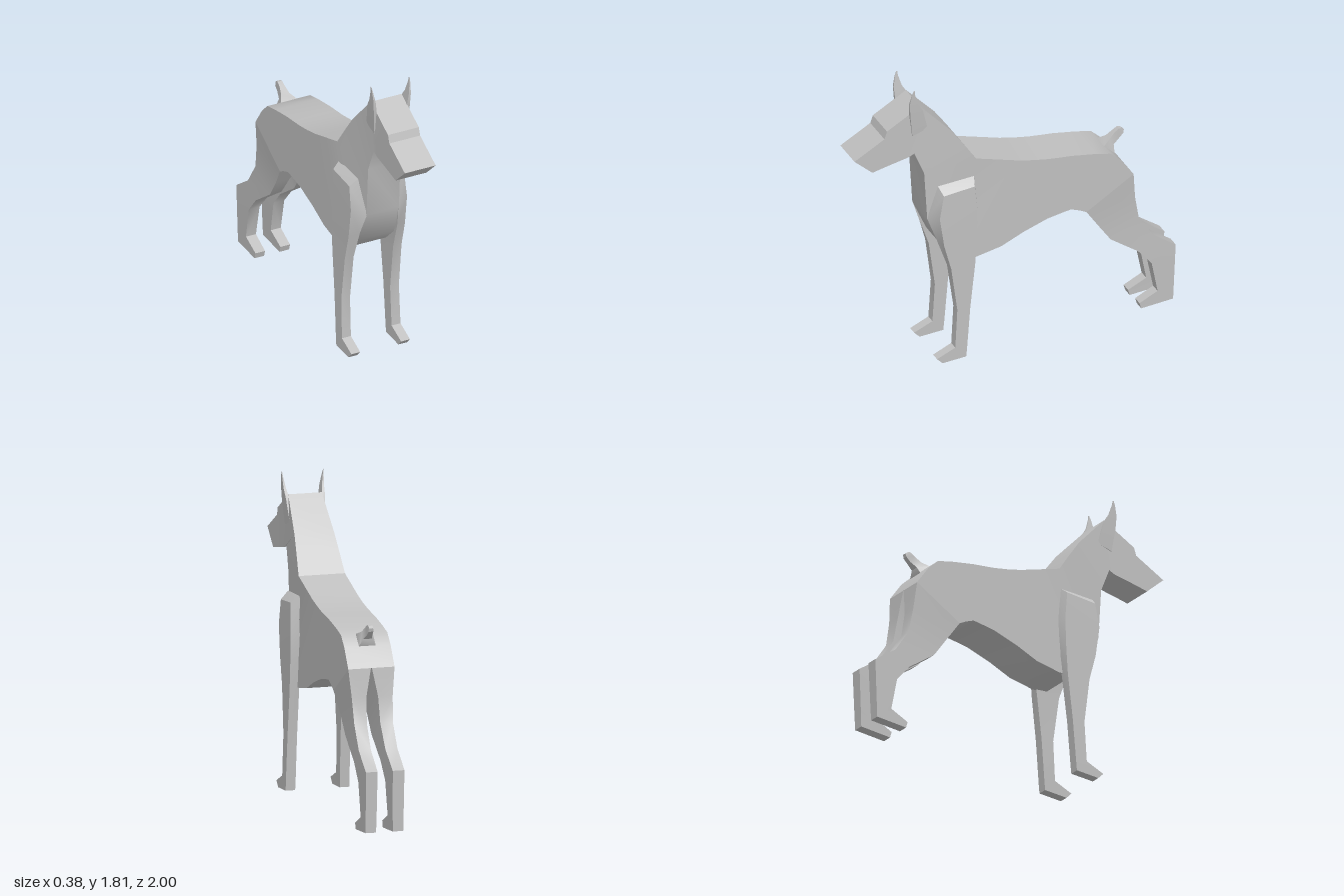
import * as THREE from 'three';
import { toCreasedNormals } from 'three/addons/utils/BufferGeometryUtils.js';

const coat = new THREE.MeshStandardMaterial({ color: 0xbfbfbf });
coat.name = 'grey coat';

// Closed skin over a row of four-cornered sections, each corner [x, y, z]
function loft(name, sections, side = 1) {
  const rings = sections.map(r => r.map(([x, y, z]) => new THREE.Vector3(x * side, y, z)));
  const tris = [];
  const quad = (a, b, c, d) => tris.push([a, b, c], [a, c, d]);
  for (let i = 0; i < rings.length - 1; i++) {
    for (let j = 0; j < 4; j++) {
      const k = (j + 1) % 4;
      quad(rings[i][j], rings[i][k], rings[i + 1][k], rings[i + 1][j]);
    }
  }
  quad(...[...rings[0]].reverse());
  quad(...rings[rings.length - 1]);

  // Faces point outward when the enclosed volume is positive
  let volume = 0;
  for (const [a, b, c] of tris) volume += a.dot(b.clone().cross(c));
  const points = [];
  for (const [a, b, c] of tris) {
    const area = b.clone().sub(a).cross(c.clone().sub(a)).length();
    if (area > 1e-7) points.push(...(volume > 0 ? [a, b, c] : [a, c, b]));
  }
  const geometry = toCreasedNormals(new THREE.BufferGeometry().setFromPoints(points), 0.55);
  const mesh = new THREE.Mesh(geometry, coat);
  mesh.name = name;
  return mesh;
}

// Section rules: symmetric about x = 0, or a slab between two x positions
const centred = ([za, ya, zb, yb, wa, wb = wa]) =>
  [[wa, ya, za], [-wa, ya, za], [-wb, yb, zb], [wb, yb, zb]];
const slab = ([za, ya, zb, yb, xo, xi]) =>
  [[xo, ya, za], [xi, ya, za], [xi, yb, zb], [xo, yb, zb]];
// Outer front, outer back, inner front, inner back as z, y; then outer and inner x
const bevelled = ([a, b, c, d, e, f, g, h, xo, xi]) =>
  [[xo, b, a], [xi, f, e], [xi, h, g], [xo, d, c]];

// Top z, y; underside z, y; half widths at top and underside
const body = [
  [1.0, 1.415, 0.888, 1.315, 0.1],
  [0.813, 1.52, 0.80, 1.335, 0.1],
  [0.797, 1.567, 0.785, 1.338, 0.1],
  [0.59, 1.685, 0.663, 1.363, 0.1],
  [0.406, 1.49, 0.626, 1.38, 0.118, 0.1],
  [0.33, 1.385, 0.567, 1.235, 0.128, 0.105],
  [0.257, 1.278, 0.548, 0.93, 0.138, 0.105],
  [0.12, 1.238, 0.45, 0.72, 0.138, 0.13],
  [-0.01, 1.20, 0.35, 0.63, 0.138],
  [-0.1, 1.18, 0.257, 0.624, 0.138],
  [-0.19, 1.165, 0.10, 0.656, 0.138],
  [-0.265, 1.157, -0.04, 0.718, 0.138],
  [-0.34, 1.15, -0.19, 0.77, 0.138],
  [-0.487, 1.127, -0.30, 0.79, 0.138],
  [-0.583, 1.106, -0.337, 0.795, 0.138],
  [-0.647, 1.047, -0.39, 0.775, 0.138],
  [-0.727, 0.935, -0.433, 0.753, 0.138],
];

// Back z, y; front z, y; outer and inner x
const hindLeg = [
  [-0.727, 0.935, -0.433, 0.753, 0.138, 0.003],
  [-0.743, 0.77, -0.51, 0.64, 0.122, 0.035],
  [-0.77, 0.62, -0.594, 0.52, 0.115, 0.04],
  [-0.86, 0.485, -0.765, 0.40, 0.115, 0.043],
  [-1.0, 0.388, -0.85, 0.30, 0.115, 0.045],
  [-0.989, 0.12, -0.888, 0.105, 0.113, 0.048],
  [-0.985, 0.03, -0.775, 0.05, 0.112, 0.05],
  [-0.985, 0.03, -0.786, 0.013, 0.112, 0.05],
];

const frontLeg = [
  [0.476, 1.10, 0.283, 1.12, 0.492, 1.145, 0.267, 1.16, 0.178, 0.13],
  [0.503, 0.955, 0.267, 0.955, 0.548, 0.93, 0.237, 0.95, 0.182, 0.102],
  [0.476, 0.77, 0.273, 0.77, 0.50, 0.795, 0.258, 0.77, 0.183, 0.122],
  [0.433, 0.61, 0.283, 0.61, 0.435, 0.61, 0.28, 0.61, 0.184, 0.128],
  [0.396, 0.33, 0.315, 0.33, 0.396, 0.33, 0.315, 0.33, 0.187, 0.13],
  [0.41, 0.085, 0.337, 0.06, 0.41, 0.085, 0.337, 0.06, 0.19, 0.132],
  [0.524, 0.035, 0.342, 0.01, 0.524, 0.035, 0.342, 0.01, 0.19, 0.133],
  [0.49, 0, 0.342, 0.01, 0.49, 0, 0.342, 0.01, 0.19, 0.133],
];

const ear = [
  [0.64, 1.50, 0.545, 1.53, 0.104, 0.085],
  [0.658, 1.64, 0.58, 1.665, 0.117, 0.097],
  [0.663, 1.72, 0.613, 1.72, 0.121, 0.108],
  [0.65, 1.785, 0.632, 1.785, 0.124, 0.119],
  [0.64, 1.81, 0.634, 1.81, 0.125, 0.123],
];

const tail = [
  [-0.575, 1.10, -0.64, 1.04, 0.05],
  [-0.583, 1.108, -0.647, 1.05, 0.05],
  [-0.625, 1.13, -0.652, 1.09, 0.026],
  [-0.663, 1.163, -0.69, 1.118, 0.016],
  [-0.69, 1.18, -0.717, 1.145, 0.015],
  [-0.707, 1.178, -0.722, 1.166, 0.012],
];

export function createModel() {
  const model = new THREE.Group();
  model.name = 'dog';
  model.add(loft('headAndTrunk', body.map(centred)), loft('tail', tail.map(centred)));
  // Paired parts
  for (const [prefix, side] of [['left', 1], ['right', -1]]) {
    model.add(
      loft(prefix + 'FrontLeg', frontLeg.map(bevelled), side),
      loft(prefix + 'HindLeg', hindLeg.map(slab), side),
      loft(prefix + 'Ear', ear.map(slab), side),
    );
  }
  return model;
}
